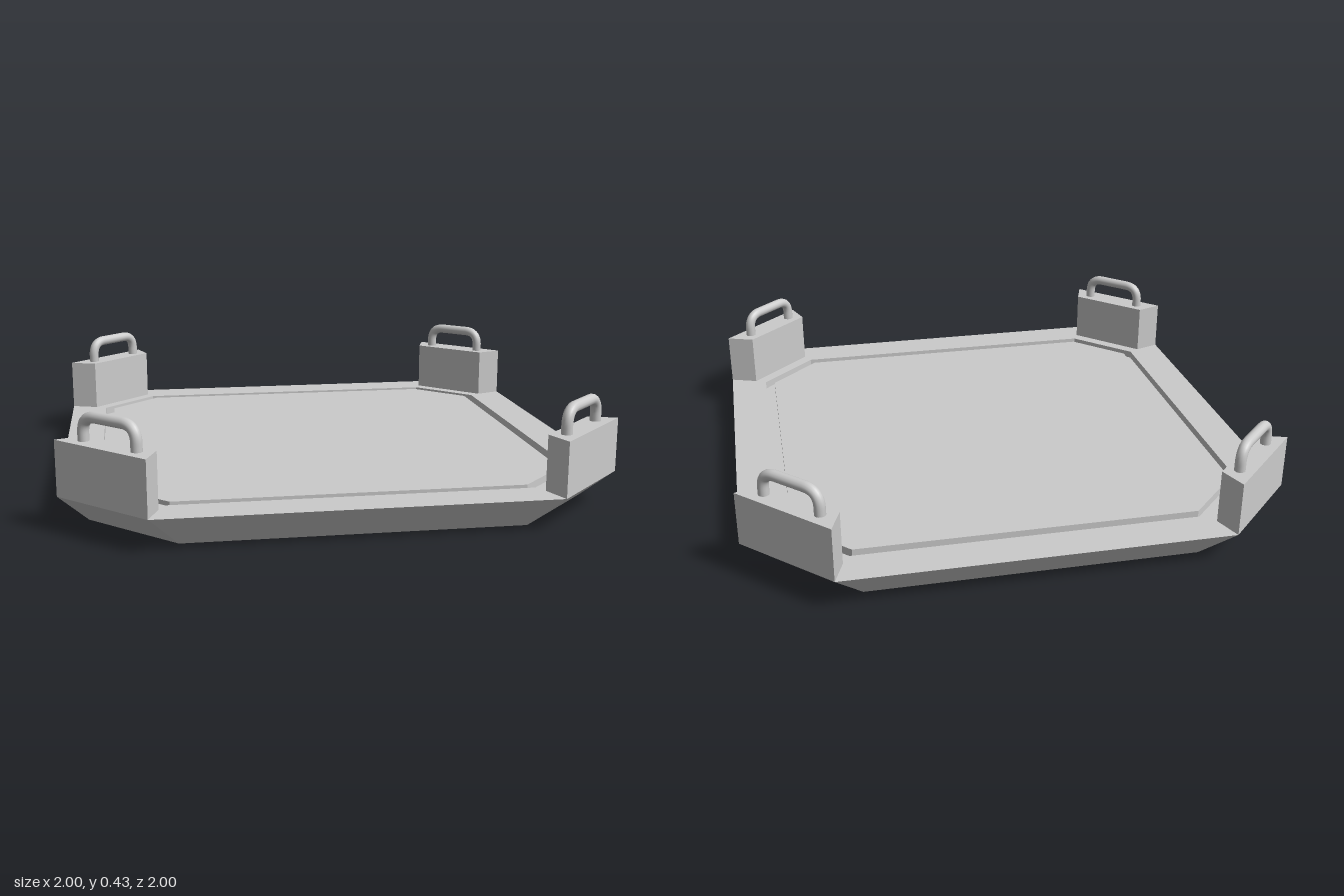
import * as THREE from 'three';

const material = new THREE.MeshStandardMaterial({ color: 0xcccccc });
const flatMaterial = new THREE.MeshStandardMaterial({ color: 0xcccccc, flatShading: true });

// Chamfered square: half size h, chamfers starting at c along each side
function octagon(h, c, y) {
  return [[h, -c], [h, c], [c, h], [-c, h], [-h, c], [-h, -c], [-c, -h], [c, -h]]
    .map(([x, z]) => new THREE.Vector3(x, y, z));
}

// Skins a list of [half size, chamfer start, height] rings, bottom to top
function skinRings(profile) {
  const rings = profile.map((p) => octagon(...p));
  const points = [];
  for (let j = 0; j < rings.length - 1; j++) {
    for (let i = 0; i < 8; i++) {
      const k = (i + 1) % 8;
      const a = rings[j][i], b = rings[j][k], c = rings[j + 1][k], d = rings[j + 1][i];
      if (profile[j][0] > 0) points.push(a, d, b);
      if (profile[j + 1][0] > 0) points.push(b, d, c);
    }
  }
  const geometry = new THREE.BufferGeometry().setFromPoints(points);
  geometry.computeVertexNormals();
  return geometry;
}

// Carrying handle path: a wide arch with rounded corners, standing in the xy plane
function handleGeometry() {
  const w = 0.123, bottom = 0.31, top = 0.407, r = 0.06;
  const v = (x, y) => new THREE.Vector3(x, y, 0);
  const path = new THREE.CurvePath();
  path.add(new THREE.LineCurve3(v(-w, bottom), v(-w, top - r)));
  path.add(new THREE.QuadraticBezierCurve3(v(-w, top - r), v(-w, top), v(-w + r, top)));
  path.add(new THREE.LineCurve3(v(-w + r, top), v(w - r, top)));
  path.add(new THREE.QuadraticBezierCurve3(v(w - r, top), v(w, top), v(w, top - r)));
  path.add(new THREE.LineCurve3(v(w, top - r), v(w, bottom)));
  return new THREE.TubeGeometry(path, 48, 0.02, 14);
}

export function createModel() {
  const model = new THREE.Group();
  model.name = 'tray';

  // Platform with sloped sides and a narrow groove around the top
  const platform = new THREE.Mesh(skinRings([
    [0, 0, 0],
    [0.9, 0.6, 0],
    [1, 0.7, 0.12],
    [0.855, 0.64, 0.12],
    [0.855, 0.64, 0.09],
    [0.817, 0.625, 0.09],
    [0.817, 0.625, 0.12],
    [0, 0, 0.12],
  ]), flatMaterial);
  platform.name = 'platform';
  model.add(platform);

  // Corner block outline, seen from above
  const outline = new THREE.Shape([[0.7, 1], [0.663, 0.897], [0.897, 0.663], [1, 0.7]]
    .map(([x, z]) => new THREE.Vector2(x, z)));
  const blockGeometry = new THREE.ExtrudeGeometry(outline, { depth: 0.2, bevelEnabled: false });
  blockGeometry.rotateX(Math.PI / 2).translate(0, 0.32, 0);

  const tubeGeometry = handleGeometry();
  tubeGeometry.rotateY(Math.PI / 4).translate(0.814, 0, 0.814);

  // Four corners, each with a block and a handle
  ['frontLeft', 'backLeft', 'backRight', 'frontRight'].forEach((name, i) => {
    const corner = new THREE.Group();
    corner.name = name + 'Corner';
    const block = new THREE.Mesh(blockGeometry, flatMaterial);
    block.name = 'cornerBlock';
    const handle = new THREE.Mesh(tubeGeometry, material);
    handle.name = 'handle';
    corner.add(block, handle);
    corner.rotation.y = i * Math.PI / 2;
    model.add(corner);
  });

  return model;
}
